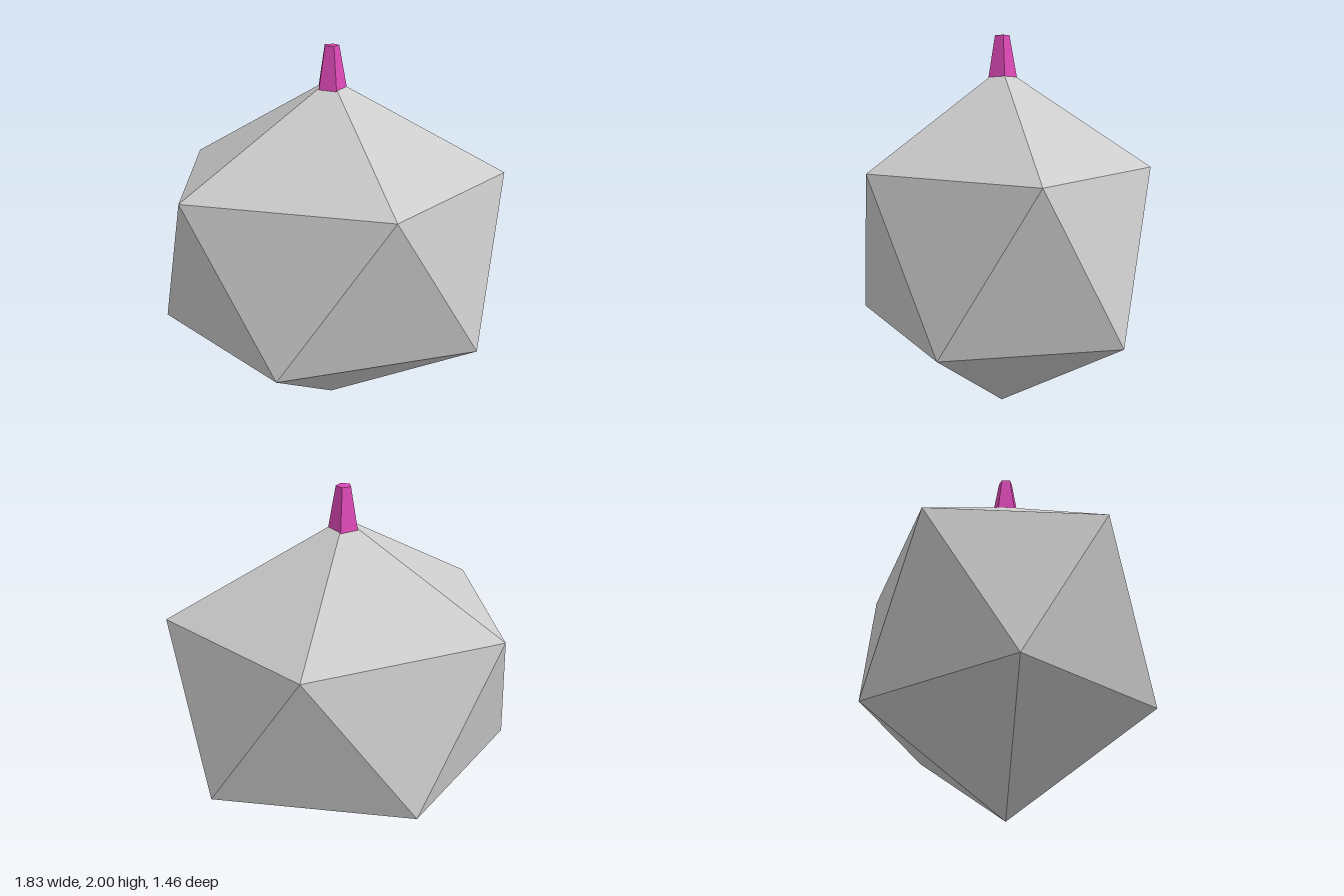
import * as THREE from 'three';

// Twenty-sided body standing on one point: two staggered rings of five between two poles
function bodyGeometry() {
  const rx = 0.915, rz = 0.768, low = 0.507, high = 1.327, topY = 1.834;
  const ring = (y, offset) => Array.from({ length: 5 }, (_, i) => {
    const a = ((i + offset) / 5) * Math.PI * 2;
    return [rx * Math.cos(a), y, rz * Math.sin(a)];
  });
  const upper = ring(high, 0), lower = ring(low, 0.5);
  const top = [0, topY, 0], bottom = [0, 0, 0];
  const positions = [];
  const face = (...corners) => corners.forEach((c) => positions.push(...c));
  for (let i = 0; i < 5; i++) {
    const n = (i + 1) % 5;
    face(top, upper[n], upper[i]);
    face(upper[i], upper[n], lower[i]);
    face(lower[i], upper[n], lower[n]);
    face(bottom, lower[i], lower[n]);
  }
  const geometry = new THREE.BufferGeometry();
  geometry.setAttribute('position', new THREE.Float32BufferAttribute(positions, 3));
  geometry.computeVertexNormals();
  return geometry;
}

export function createModel() {
  const grey = new THREE.MeshStandardMaterial({ color: 0xcccccc, flatShading: true });
  grey.name = 'light grey';
  const pink = new THREE.MeshStandardMaterial({ color: 0xdd49b6, flatShading: true });
  pink.name = 'magenta';

  const group = new THREE.Group();
  group.name = 'facetedBauble';

  const body = new THREE.Mesh(bodyGeometry(), grey);
  body.name = 'body';

  // Tapered five-sided stem on the top point, with a corner towards +x
  const stemBase = 1.78, stemTop = 2;
  const stem = new THREE.Mesh(
    new THREE.CylinderGeometry(0.04, 0.08, stemTop - stemBase, 5, 1, false, Math.PI / 2),
    pink
  );
  stem.name = 'stem';
  stem.position.y = (stemBase + stemTop) / 2;

  group.add(body, stem);
  return group;
}
